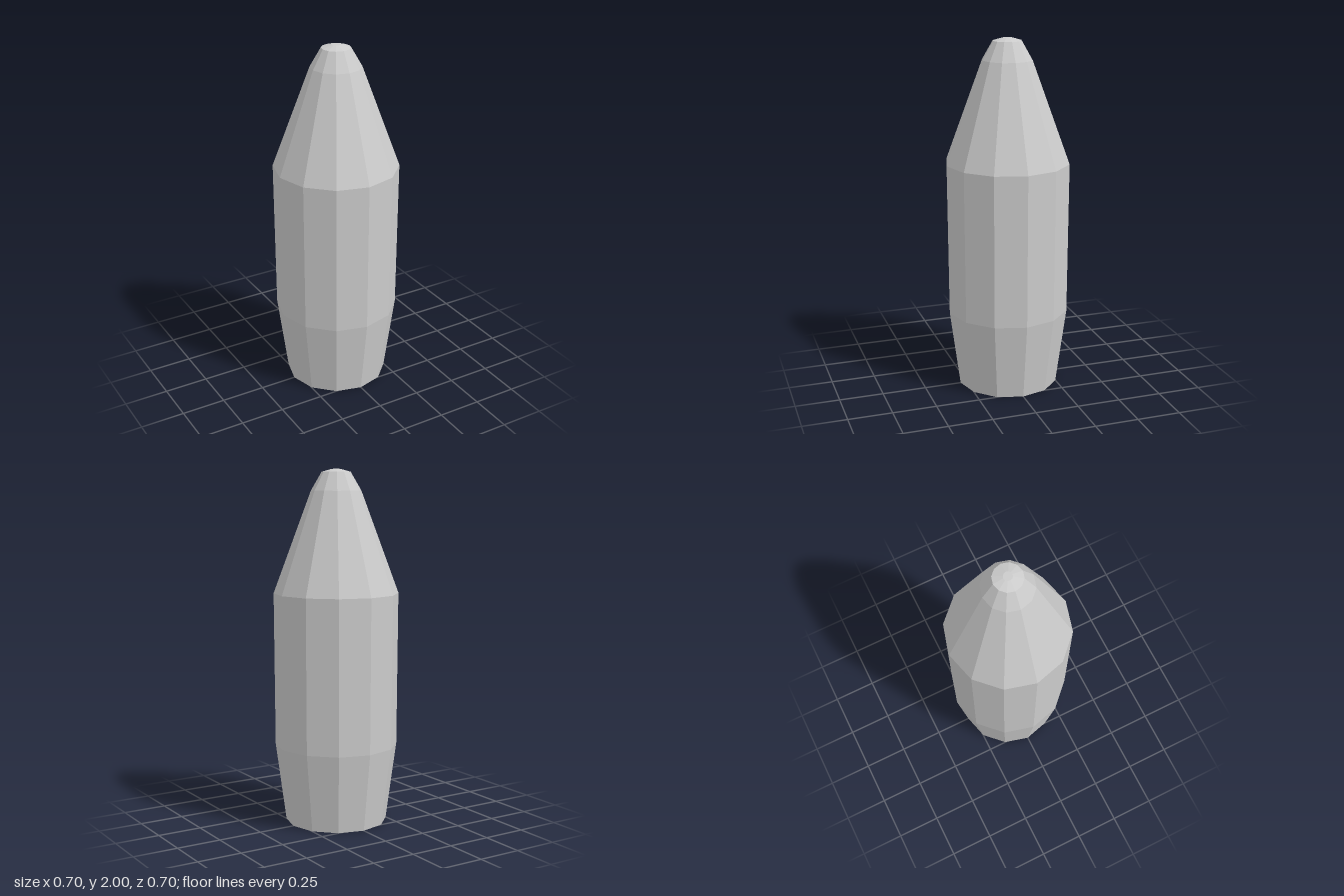
import * as THREE from 'three';

const SIDES = 12;

// One faceted ring section, turned from [radius, height] pairs listed bottom to top
function turned(name, profile, material) {
  const points = profile.map(([r, y]) => new THREE.Vector2(r, y));
  const mesh = new THREE.Mesh(new THREE.LatheGeometry(points, SIDES), material);
  mesh.name = name;
  return mesh;
}

export function createModel() {
  const model = new THREE.Group();
  model.name = 'taperedShell';
  const grey = new THREE.MeshStandardMaterial({ color: 0xcccccc, flatShading: true });

  model.add(
    // Flat base and the taper that widens above it
    turned('base', [[0, 0], [0.288, 0], [0.347, 0.445]], grey),
    // Nearly straight body
    turned('body', [[0.347, 0.445], [0.352, 1.31]], grey),
    // Long cone with a steeper shoulder near the end
    turned('nose', [[0.352, 1.31], [0.141, 1.88], [0.081, 1.984]], grey),
    // Shallow cap with a small flat end
    turned('tip', [[0.081, 1.984], [0.025, 2], [0, 2]], grey),
  );
  return model;
}
